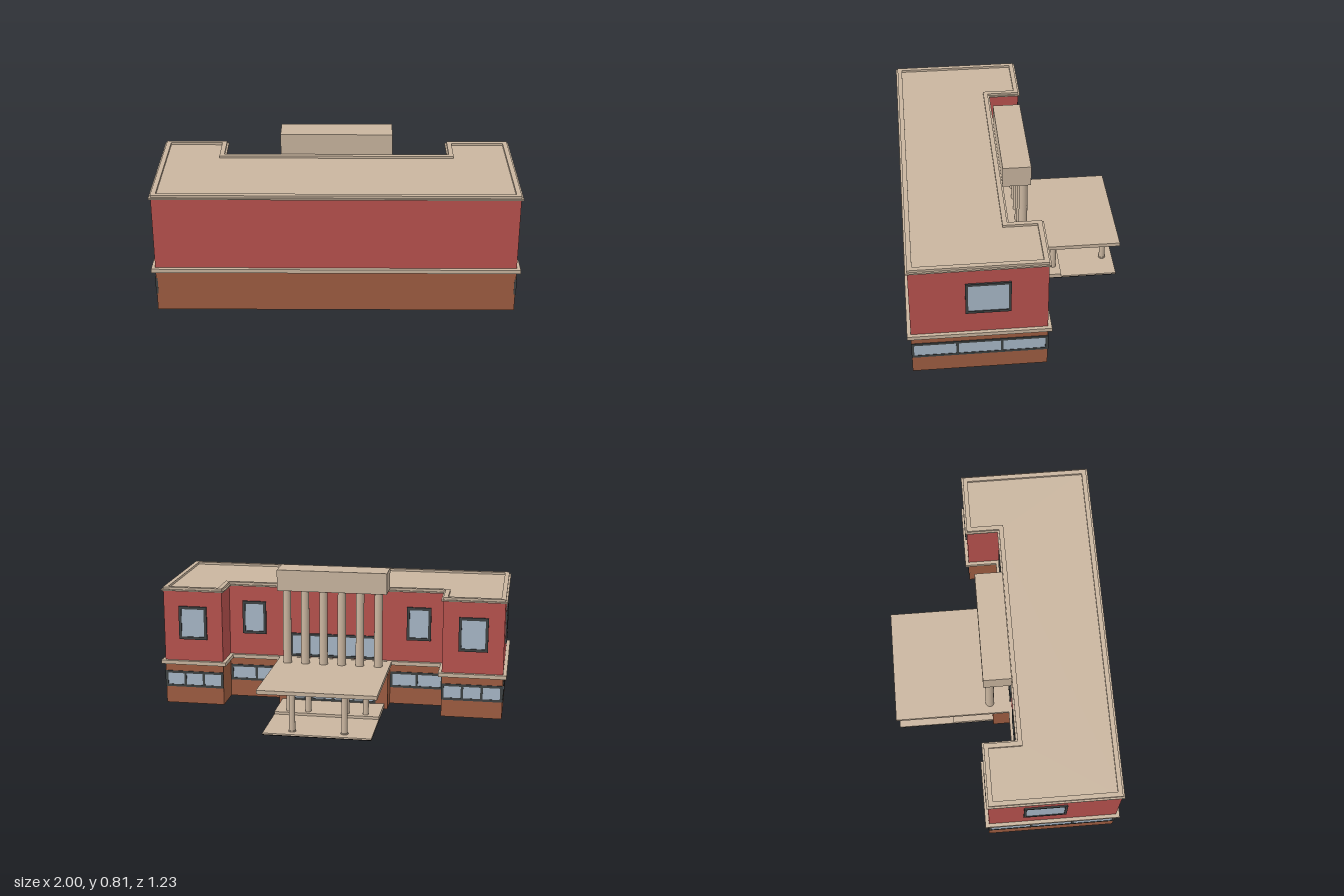
import * as THREE from 'three';

const mat = (name, color, side = THREE.FrontSide) => {
  const m = new THREE.MeshStandardMaterial({ color, side });
  m.name = name;
  return m;
};

export function createModel() {
  const root = new THREE.Group();
  root.name = 'building';
  const red = mat('red wall', 0xb8524e);
  const brown = mat('brown brick', 0x9e5d41, THREE.DoubleSide);
  const tan = mat('tan stone', 0xc9b59f);
  const dark = mat('dark frame', 0x3d4142);
  const glass = mat('window glass', 0xa8b8c8);
  const black = mat('black underside', 0x080808);

  const add = (name, geo, material, parent = root) => {
    const m = new THREE.Mesh(geo, material);
    m.name = name;
    parent.add(m);
    return m;
  };
  const box = (name, x0, x1, y0, y1, z0, z1, material) => {
    const m = add(name, new THREE.BoxGeometry(x1 - x0, y1 - y0, z1 - z0), material);
    m.position.set((x0 + x1) / 2, (y0 + y1) / 2, (z0 + z1) / 2);
  };
  const column = (name, x, z, y0, y1, r, rTop = r) => {
    const m = add(name, new THREE.CylinderGeometry(rTop, r, y1 - y0, 20), tan);
    m.position.set(x, (y0 + y1) / 2, z);
  };

  // U-shaped plan grown outward by d, optionally with the entrance bay
  const plan = (d, bay) => {
    const half = [[0.98 + d, 0.595 + d], [0.98 + d, -0.125 - d], [0.635 - d, -0.125 - d], [0.635 - d, 0.06 - d]];
    if (bay) half.push([0.32 + d, 0.06 - d], [0.32 + d, -0.05 - d]);
    const all = [...half, ...half.map(([x, z]) => [-x, z]).reverse()];
    return all.map(([x, z]) => new THREE.Vector2(x, -z));
  };
  const storey = (name, y0, y1, outer, inner, bay, material) => {
    const shape = new THREE.Shape(plan(outer, bay));
    if (inner !== null) shape.holes.push(new THREE.Path(plan(inner, bay)));
    const geo = new THREE.ExtrudeGeometry(shape, { depth: y1 - y0, bevelEnabled: false });
    geo.rotateX(-Math.PI / 2);
    geo.translate(0, y0, 0);
    add(name, geo, material);
  };

  // Open-bottomed lower storey, solid upper storey and roof trims
  storey('lowerWalls', 0, 0.245, 0, -0.004, true, brown);
  storey('upperWalls', 0.25, 0.676, 0, null, false, red);
  storey('floorTrim', 0.24, 0.262, 0.02, -0.015, false, tan);
  storey('roof', 0.676, 0.684, 0.011, null, false, tan);
  storey('parapet', 0.682, 0.697, 0.001, -0.025, false, tan);

  // Framed window with a row of panes, facing local +z
  const rect = (P, x0, y0, x1, y1) => new P([[x0, y0], [x1, y0], [x1, y1], [x0, y1]].map(([x, y]) => new THREE.Vector2(x, y)));
  const makeWindow = (name, w, h, panes, bar, depth, x, y, z, turn) => {
    const g = new THREE.Group();
    g.name = name;
    const frame = rect(THREE.Shape, -w / 2, -h / 2, w / 2, h / 2);
    const pw = (w - bar * (panes + 1)) / panes;
    for (let i = 0; i < panes; i++) {
      const x0 = -w / 2 + bar + i * (pw + bar);
      frame.holes.push(rect(THREE.Path, x0, -h / 2 + bar, x0 + pw, h / 2 - bar));
    }
    const geo = new THREE.ExtrudeGeometry(frame, { depth, bevelEnabled: false });
    geo.translate(0, 0, -depth / 2);
    add('windowFrame', geo, dark, g);
    add('windowGlass', new THREE.BoxGeometry(w - bar, h - bar, 0.009), glass, g);
    g.position.set(x, y, z);
    g.rotation.y = turn;
    root.add(g);
  };

  for (const s of [1, -1]) {
    // Side windows
    makeWindow('sideUpperWindow', 0.238, 0.196, 1, 0.014, 0.018, s * 0.98, 0.489, 0.187, s * Math.PI / 2);
    makeWindow('sideLowerWindows', 0.722, 0.096, 3, 0.014, 0.013, s * 0.978, 0.148, 0.235, s * Math.PI / 2);
    // Wing windows
    makeWindow('wingUpperWindow', 0.165, 0.196, 1, 0.016, 0.02, s * 0.808, 0.489, -0.125, Math.PI);
    makeWindow('wingLowerWindows', 0.345, 0.096, 3, 0.014, 0.013, s * 0.8075, 0.148, -0.123, Math.PI);
    // Recess windows
    makeWindow('recessUpperWindow', 0.14, 0.196, 1, 0.016, 0.02, s * 0.485, 0.489, 0.06, Math.PI);
    makeWindow('recessLowerWindows', 0.31, 0.096, 2, 0.014, 0.013, s * 0.477, 0.148, 0.062, Math.PI);
  }

  // Entrance doors and the glazing above the canopy
  makeWindow('entranceDoors', 0.5, 0.19, 4, 0.014, 0.013, 0, 0.125, -0.048, Math.PI);
  makeWindow('balconyGlazing', 0.54, 0.14, 5, 0.014, 0.018, 0, 0.335, 0.06, Math.PI);

  // Canopy, entrance step and paving
  box('canopy', -0.33, 0.33, 0.239, 0.261, -0.615, 0.05, tan);
  box('entranceStep', -0.3, 0.3, 0.009, 0.031, -0.288, -0.05, tan);
  box('paving', -0.3, 0.3, 0.009, 0.016, -0.608, -0.05, tan);
  box('pavingUnderside', -0.3, 0.3, 0.005, 0.009, -0.608, -0.05, black);

  // Canopy columns
  for (const s of [1, -1]) {
    column('frontColumn', s * 0.145, -0.548, 0.01, 0.24, 0.017);
    column('frontColumnBase', s * 0.145, -0.548, 0, 0.022, 0.021);
    for (const x of [0.11, 0.22]) column('rearColumn', s * x, -0.248, 0.03, 0.24, 0.017);
  }

  // Portico colonnade and the block it carries
  for (let i = 0; i < 6; i++) column('porticoColumn', -0.265 + i * 0.106, -0.065, 0.26, 0.697, 0.025, 0.023);
  box('porticoBlock', -0.315, 0.315, 0.694, 0.815, -0.103, 0.053, tan);

  return root;
}
